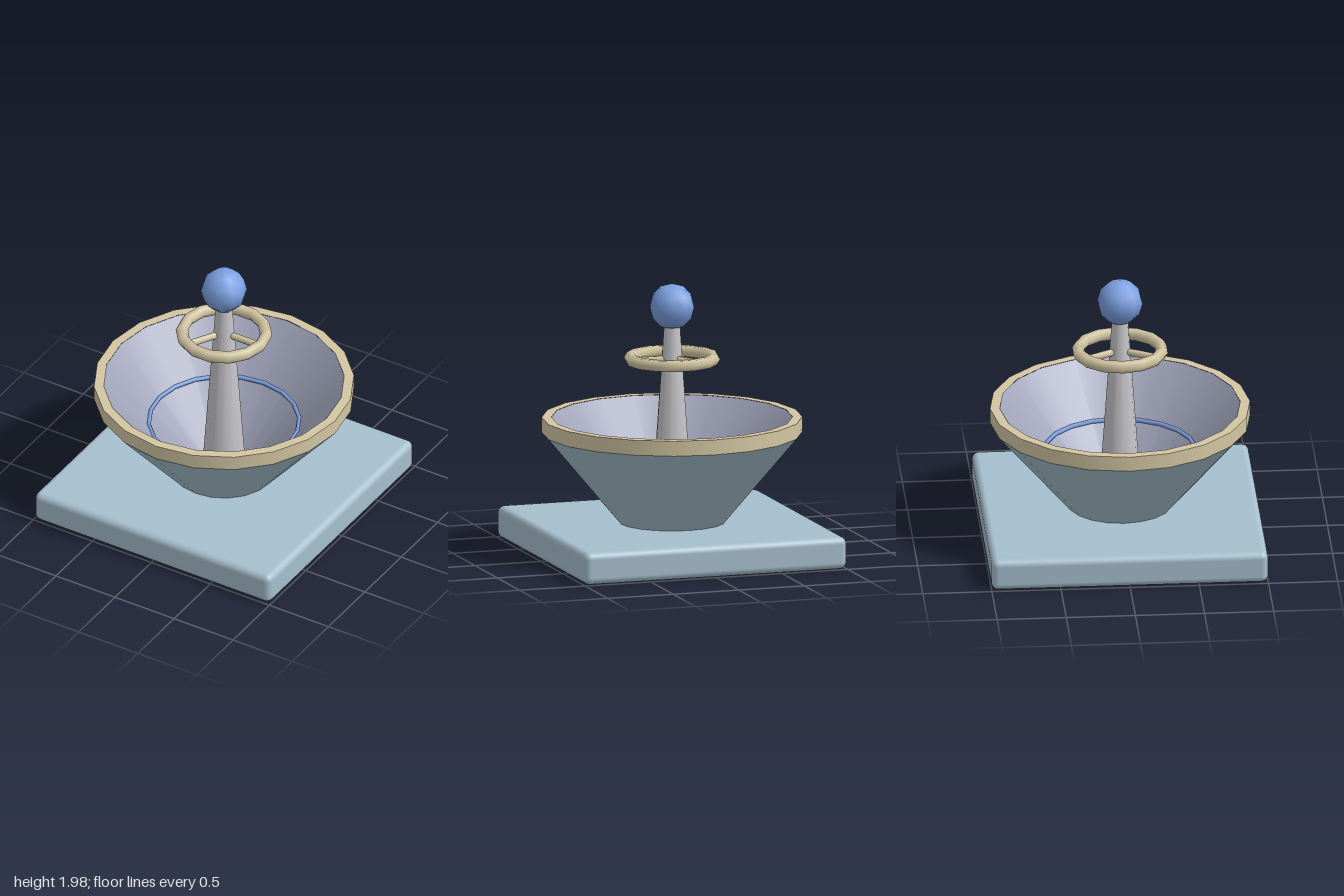
import * as THREE from 'three';
import { RoundedBoxGeometry } from 'three/addons/geometries/RoundedBoxGeometry.js';

const material = (name, color) => {
  const m = new THREE.MeshStandardMaterial({ color });
  m.name = name;
  return m;
};

export function createModel() {
  const model = new THREE.Group();
  model.name = 'bowlWithHandwheel';

  const paleBlue = material('pale blue', 0xa6bfce);
  const lavender = material('lavender grey', 0x9fa3b9);
  const cream = material('cream', 0xd2c6a2);
  const blue = material('blue', 0x7b9fe0);
  const grey = material('light grey', 0xc6c6ca);

  const add = (name, geometry, mat, y = 0, parent = model) => {
    const mesh = new THREE.Mesh(geometry, mat);
    mesh.name = name;
    mesh.position.y = y;
    parent.add(mesh);
    return mesh;
  };
  // Open surface of revolution, 20 sides; upward points face outward
  const lathe = (...points) =>
    new THREE.LatheGeometry(points.map(([r, y]) => new THREE.Vector2(r, y)), 20);
  // Torus lying flat
  const ring = (radius, tube, sides, segments) =>
    new THREE.TorusGeometry(radius, tube, sides, segments).rotateX(Math.PI / 2);

  // Square slab
  add('base', new RoundedBoxGeometry(2, 0.235, 2, 3, 0.05), paleBlue, 0.1175);

  // Conical bowl: outer shell, inner wall and floor
  add('bowlOuter', lathe([0.34, 0.18], [0.94, 0.89]), paleBlue);
  add('bowlInner', lathe([0.87, 0.999], [0.15, 0.2]), lavender);
  add('bowlFloor', new THREE.CircleGeometry(0.16, 20).rotateX(-Math.PI / 2), lavender, 0.24);

  // Rim: band round the outside and flat top
  const rim = new THREE.Group();
  rim.name = 'rim';
  model.add(rim);
  add('rimBand', lathe([0.94, 0.89], [0.94, 1]), cream, 0, rim);
  add('rimTop', lathe([0.94, 1], [0.87, 1]), cream, 0, rim);

  // Thin line ring on the inner wall
  add('levelRing', ring(0.545, 0.016, 6, 20), blue, 0.645);

  // Tapered post and ball
  add('post', new THREE.CylinderGeometry(0.058, 0.158, 1.46, 12), grey, 0.96);
  add('ball', new THREE.SphereGeometry(0.167, 10, 6), blue, 1.812);

  // Handwheel with three spokes
  const wheel = new THREE.Group();
  wheel.name = 'handwheel';
  wheel.position.y = 1.43;
  model.add(wheel);
  add('wheelRing', ring(0.305, 0.045, 6, 14), cream, 0, wheel);
  for (let i = 0; i < 3; i++) {
    const spoke = new THREE.CylinderGeometry(0.026, 0.026, 0.3, 6)
      .rotateZ(Math.PI / 2)
      .translate(0.15, 0, 0);
    add('spoke', spoke, cream, 0, wheel).rotation.y = (i * Math.PI * 2) / 3;
  }
  return model;
}
